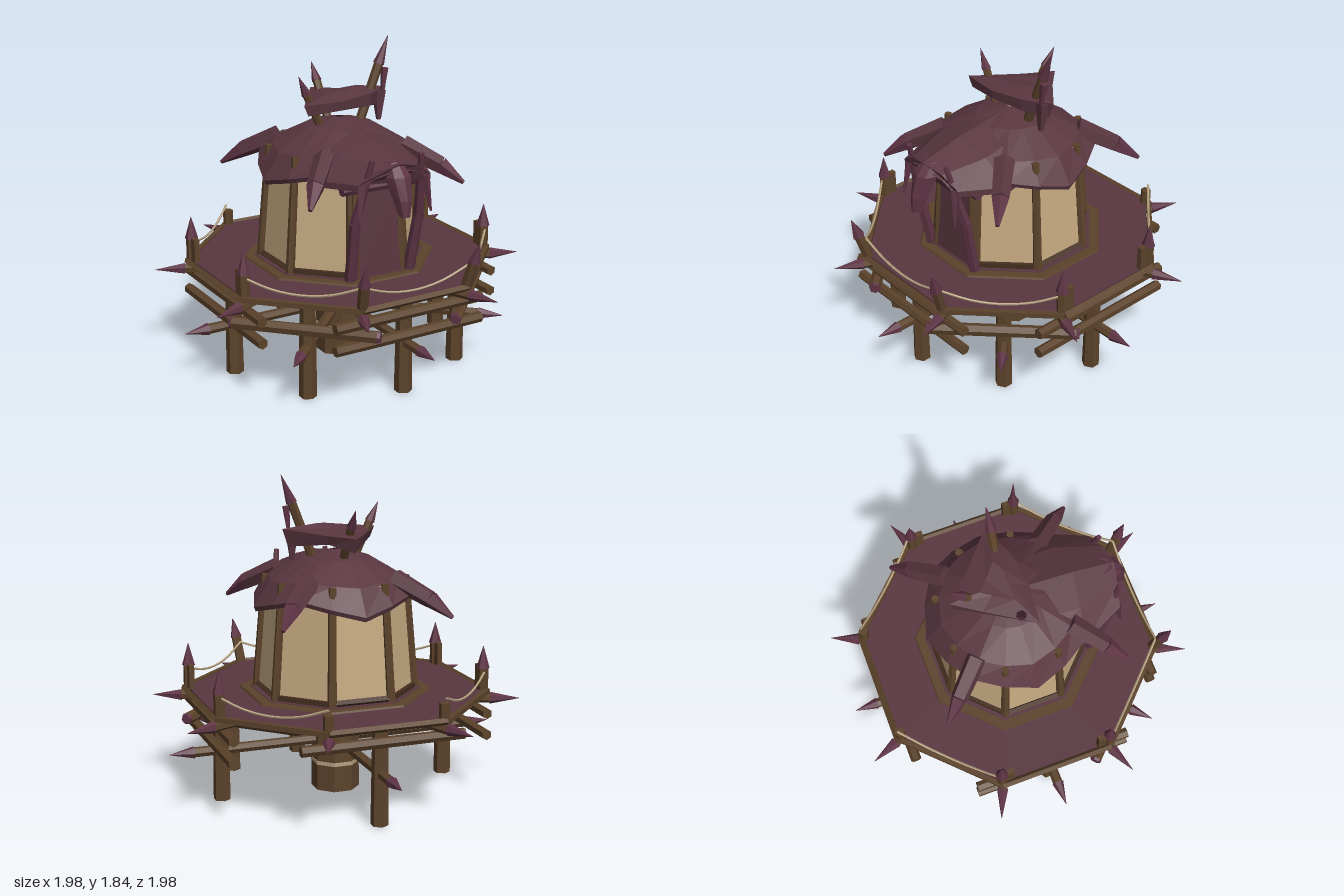
import * as THREE from 'three';

const mat = (color) => new THREE.MeshStandardMaterial({ color, flatShading: true, side: THREE.DoubleSide });
const WOOD = mat(0x5c432b), DARK = mat(0x452f20), HIDE = mat(0x593640), HORN = mat(0x5e3444),
  WALL = mat(0xc6aa82), ROPE = mat(0xb5a180);
const V = (x, y, z) => new THREE.Vector3(x, y, z);

export function createModel() {
  const root = new THREE.Group();

  const add = (name, geo, material, parent = root) => {
    const mesh = new THREE.Mesh(geo, material);
    mesh.name = name;
    parent.add(mesh);
    return mesh;
  };
  // Straight bar between two points; r1 is the radius at b
  const bar = (name, a, b, r0, r1, material, parent = root, sides = 6) => {
    const d = b.clone().sub(a);
    const mesh = add(name, new THREE.CylinderGeometry(r1, r0, d.length(), sides), material, parent);
    mesh.position.copy(a).add(b).multiplyScalar(0.5);
    mesh.quaternion.setFromUnitVectors(V(0, 1, 0), d.normalize());
    return mesh;
  };
  // Bar that ends in a horn spike of the given length
  const spiked = (name, a, b, r, tip, parent = root) => {
    const g = new THREE.Group();
    g.name = name;
    const neck = b.clone().add(a.clone().sub(b).setLength(tip));
    bar('shaft', a, neck, r, r, WOOD, g);
    bar('spike', neck, b, r * 1.2, 0.001, HORN, g);
    parent.add(g);
  };
  // Skin over closed rings of points, with end caps
  const loft = (name, rings, material, caps = true) => {
    const n = rings[0].length, idx = [];
    for (let k = 0; k < rings.length - 1; k++)
      for (let i = 0; i < n; i++) {
        const j = (i + 1) % n, a = k * n + i, b = k * n + j;
        idx.push(a, b, b + n, a, b + n, a + n);
      }
    const last = (rings.length - 1) * n;
    if (caps) for (let i = 1; i < n - 1; i++) idx.push(0, i + 1, i, last, last + i, last + i + 1);
    const geo = new THREE.BufferGeometry().setFromPoints(rings.flat());
    geo.setIndex(idx);
    const flat = geo.toNonIndexed();
    flat.computeVertexNormals();
    return add(name, flat, material);
  };
  // Octagonal slab with its flat sides facing the axes
  const octagon = (name, rTop, rBottom, y0, y1, material, open = false) => {
    const geo = new THREE.CylinderGeometry(rTop, rBottom, y1 - y0, 8, 1, open);
    geo.rotateY(Math.PI / 8);
    return add(name, geo.translate(0, (y0 + y1) / 2, 0), material);
  };
  const polar = (r, angle, y) => V(r * Math.sin(angle), y, r * Math.cos(angle));
  const corner = (i) => Math.PI / 8 + i * Math.PI / 4;

  // Deck
  octagon('deckFloor', 0.86, 0.86, 0.56, 0.592, HIDE);
  for (let i = 0; i < 8; i++) {
    bar('deckRim', polar(0.88, corner(i), 0.583), polar(0.88, corner(i + 1), 0.583), 0.02, 0.02, WOOD, root, 4);
    spiked('deckJoist', polar(0.12, corner(i), 0.54), polar(1.065, corner(i), 0.54), 0.029, 0.17);
  }

  // Central column with bindings
  octagon('column', 0.135, 0.14, 0, 0.57, WOOD);
  for (const y of [0.165, 0.425]) octagon('columnBinding', 0.142, 0.142, y - 0.011, y + 0.011, ROPE);

  // Legs and low radial beams: four sides plus the two front diagonals
  for (const k of [0, 1, 2, 4, 6, 7]) {
    const a = k * Math.PI / 4;
    bar('leg', polar(0.69, a, 0), polar(0.69, a, 0.57), 0.05, 0.043, WOOD);
    spiked('lowBeam', polar(0.1, a, 0.295), polar(k % 2 ? 0.965 : 0.99, a, 0.295), 0.029, 0.14);
    bar('strut', polar(0.12, a, 0.36), polar(0.5, a, 0.55), 0.025, 0.025, DARK);
  }
  // Side cross beams in pairs, and front diagonal beams
  for (let k = 0; k < 4; k++) {
    const a = k * Math.PI / 2, side = V(Math.cos(a), 0, -Math.sin(a)).multiplyScalar(0.47);
    for (const y of k === 2 ? [0.485] : [0.36, 0.485]) {
      const c = polar(0.75, a, y);
      bar('crossBeam', c.clone().sub(side), c.clone().add(side), 0.031, 0.031, WOOD);
    }
  }
  for (const s of [-1, 1]) {
    bar('diagonalBeam', V(s * 0.82, 0.42, 0.25), V(s * 0.25, 0.42, 0.82), 0.035, 0.035, WOOD);
    for (const [x, z] of [[0.82, 0.25], [0.25, 0.82]])
      bar('beamEnd', V(s * x, 0.42, z), V(s * (x + (x > z ? 0.012 : -0.012)), 0.42, z + (x > z ? -0.012 : 0.012)), 0.036, 0.03, HORN);
  }

  // Railing posts; the rear pair are short stubs
  for (const s of [-1, 1]) {
    spiked('frontRailPost', V(s * 0.33, 0.57, 0.79), V(s * 0.36, 0.85, 0.875), 0.03, 0.12);
    for (const z of [-0.33, 0.33]) {
      spiked('sideRailPost', V(s * 0.785, 0.57, z), V(s * 0.785, 0.85, z), 0.032, 0.13);
      add('railBlock', new THREE.BoxGeometry(0.03, 0.14, 0.09), WOOD).position.set(s * 0.785, 0.66, z * 0.92);
    }
    bar('rearRailStub', V(s * 0.33, 0.57, -0.79), V(s * 0.33, 0.68, -0.79), 0.03, 0.03, WOOD);
  }
  // Sagging ropes on the front, front diagonals and rear diagonals
  for (const i of [-1, 0, 6, 2, 4]) {
    const a = polar(0.87, corner(i), 0.71), b = polar(0.87, corner(i + 1), 0.71);
    const pts = [0, 0.25, 0.5, 0.75, 1].map((t) => a.clone().lerp(b, t).add(V(0, -0.3 * t * (1 - t), 0)));
    add('rope', new THREE.TubeGeometry(new THREE.CatmullRomCurve3(pts), 12, 0.007, 5), ROPE);
  }

  // Hut walls with corner posts
  octagon('hutFoot', 0.55, 0.56, 0.585, 0.603, WOOD);
  octagon('hutFootInset', 0.495, 0.495, 0.59, 0.606, HIDE);
  octagon('walls', 0.395, 0.45, 0.6, 1.25, WALL, true);
  for (let i = 0; i < 8; i++) {
    bar('wallPost', polar(0.455, corner(i), 0.6), polar(0.4, corner(i), 1.26), 0.026, 0.022, WOOD);
    bar('wallSill', polar(0.455, corner(i), 0.62), polar(0.455, corner(i + 1), 0.62), 0.02, 0.02, DARK, root, 4);
  }

  // Hide roof: eave hangs low on the sides and rises over the diagonals
  const roofRing = (r, y, dip, flare) => Array.from({ length: 16 }, (_, i) => {
    const side = i % 4 === 0, diagonal = i % 4 === 2;
    const low = i === 0 ? 0 : side ? dip : diagonal ? -dip * 0.6 : dip * 0.2;
    return polar(r + (side ? flare : diagonal ? flare * 0.6 : 0), i * Math.PI / 8, y - low);
  });
  loft('roof', [
    roofRing(0.36, 1.2, 0.04, 0), roofRing(0.455, 1.135, 0.055, 0.02), roofRing(0.465, 1.16, 0.055, 0.02),
    roofRing(0.38, 1.265, 0.015, 0.01), roofRing(0.2, 1.365, 0, 0), roofRing(0.02, 1.41, 0, 0),
  ], HIDE, false);
  // Tusks over the diagonals
  for (const sx of [-1, 1]) for (const sz of [-1, 1]) {
    const mid = V(sx * 0.4, 1.17, sz * 0.43);
    bar('roofTusk', V(sx * 0.25, 1.27, sz * 0.27), mid, 0.06, 0.05, HIDE, root, 5);
    bar('roofTuskTip', mid, V(sx * 0.49, 1.08, sz * 0.53), 0.05, 0.012, HORN, root, 5);
  }

  // Porch roof
  const porch = (z, w, peak, edge) => {
    const top = [[-1, 0], [-0.55, 0.68], [0, 1], [0.55, 0.68], [1, 0]].map(([u, v]) => V(u * w, edge + (peak - edge) * v, z - Math.abs(u) * 0.05));
    return [...top, ...top.slice().reverse().map((p) => V(p.x, p.y - 0.035, p.z))];
  };
  loft('porchRoof', [porch(0.05, 0.34, 1.4, 1.25), porch(0.38, 0.35, 1.35, 1.17), porch(0.63, 0.23, 1.285, 1.19)], HIDE);
  // Beak hanging from the porch ridge
  const beakRing = (y, z, w, d) => [V(-w, y, z - d), V(-w * 0.7, y, z + d * 0.5), V(0, y, z + d), V(w * 0.7, y, z + d * 0.5), V(w, y, z - d)];
  loft('porchBeak', [beakRing(1.29, 0.58, 0.05, 0.03), beakRing(1.22, 0.635, 0.075, 0.04), beakRing(1.1, 0.675, 0.05, 0.035),
    beakRing(1.01, 0.695, 0.03, 0.02)], HORN);

  // Porch poles, hanging hides and doorway
  for (const s of [-1, 1]) {
    const knee = V(s * 0.205, 0.95, 0.51);
    bar('porchPole', V(s * 0.19, 0.59, 0.44), knee, 0.035, 0.03, HORN);
    bar('porchPoleTop', knee, V(s * 0.155, 1.32, 0.6), 0.03, 0.015, HORN);
    bar('porchHorn', V(s * 0.2, 1.18, 0.57), V(s * 0.225, 0.98, 0.6), 0.03, 0.006, HORN, root, 4);
    bar('doorPost', V(s * 0.15, 0.59, 0.43), V(s * 0.14, 1.15, 0.4), 0.025, 0.022, WOOD);
  }
  bar('lintel', V(-0.26, 1.13, 0.46), V(0.26, 1.13, 0.46), 0.03, 0.03, HORN);
  const door = add('doorHide', new THREE.BoxGeometry(0.29, 0.53, 0.02), HIDE);
  door.position.set(0, 0.865, 0.415);
  door.rotation.x = -0.08;

  // Crown: three spiked poles carrying a tilted canopy
  spiked('crownPoleRight', V(-0.11, 1.34, 0), V(-0.26, 1.665, 0), 0.024, 0.12);
  spiked('crownPoleLeft', V(0.11, 1.3, 0), V(0.32, 1.84, 0), 0.027, 0.17);
  spiked('crownPoleRear', V(0, 1.32, -0.1), V(0, 1.665, -0.32), 0.024, 0.12);
  const canopy = [V(-0.27, 1.515, 0.08), V(-0.05, 1.52, 0.105), V(0.17, 1.535, 0.07), V(0.32, 1.54, -0.02), V(0.12, 1.515, -0.2),
    V(0, 1.51, -0.33), V(-0.1, 1.505, -0.18)];
  const drop = [0.06, 0.05, 0.07, 0.1, 0.05, 0.08, 0.05];
  loft('canopy', [
    canopy.map((p, i) => V(p.x * 0.9, p.y - drop[i], p.z * 0.95)), canopy,
    canopy.map((p) => V(p.x * 0.4, p.y + 0.025, p.z * 0.4 - 0.03)),
  ], HIDE);
  bar('canopyFlap', V(0.26, 1.53, 0.0), V(0.255, 1.36, 0.01), 0.045, 0.015, HIDE, root, 4);
  bar('poleTassel', V(0.285, 1.66, 0.02), V(0.27, 1.53, 0.025), 0.025, 0.012, HORN, root, 4);

  return root;
}
